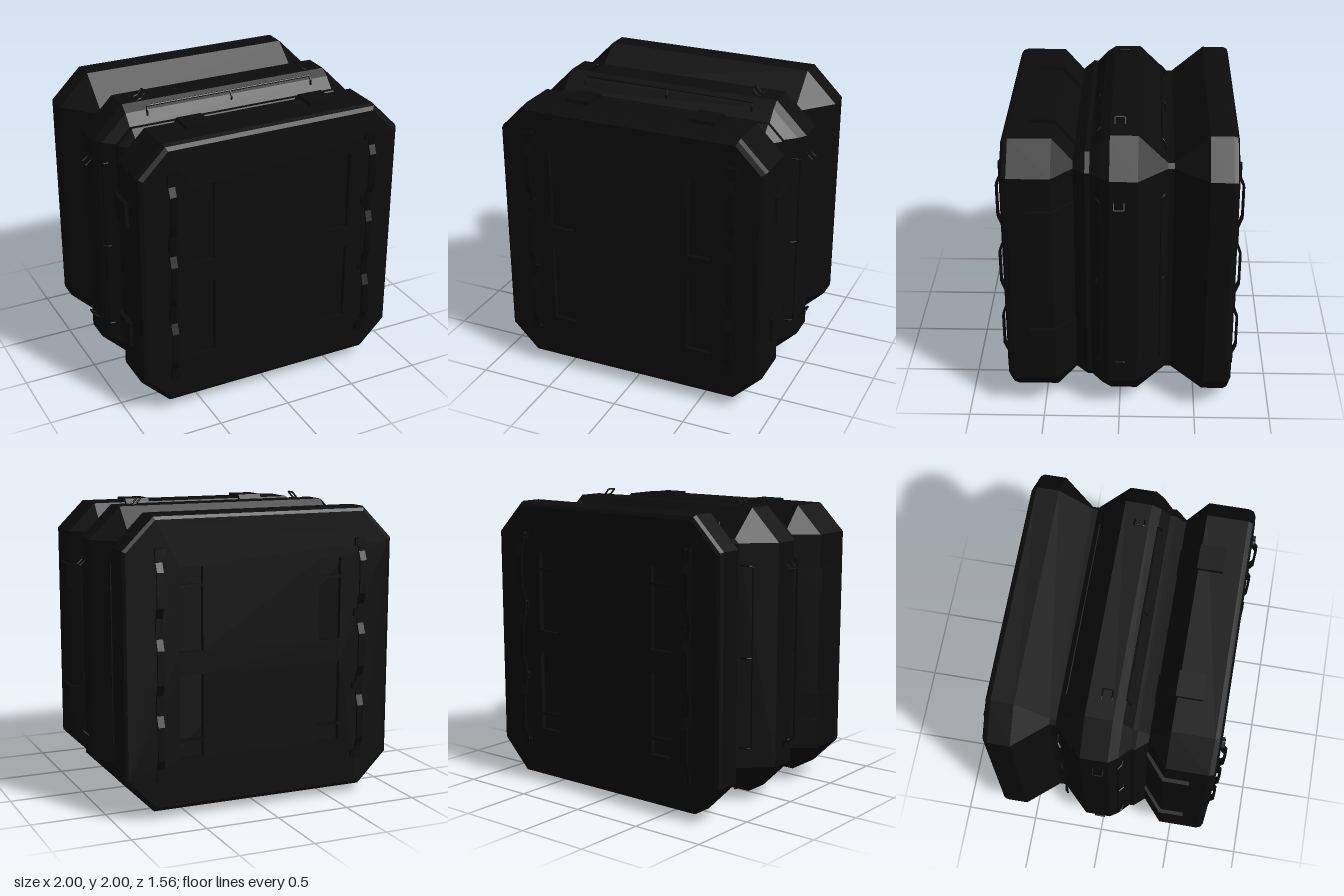
import * as THREE from 'three';

const dark = new THREE.MeshStandardMaterial({ color: 0x0c0c0c, flatShading: true });
dark.name = 'blackShell';
const trim = new THREE.MeshStandardMaterial({ color: 0x090909, flatShading: true });
trim.name = 'blackTrim';

function add(parent, name, geometry, material, x = 0, y = 0, z = 0) {
  const m = new THREE.Mesh(geometry, material);
  m.name = name;
  m.position.set(x, y, z);
  parent.add(m);
  return m;
}

// Octagon of half-width r whose flat sides reach c from the centre line
const octagon = (r, c) => [[r, -c], [r, c], [c, r], [-c, r], [-r, c], [-r, -c], [-c, -r], [c, -r]];

// Skin stretched over octagons [z, r, c] listed from front to back
function skin(sections) {
  const pos = [];
  const rings = sections.map(([z, r, c = 0.74]) => octagon(r, c).map(([x, y]) => [x, y, z]));
  for (let i = 0; i + 1 < rings.length; i++) {
    for (let j = 0; j < 8; j++) {
      const k = (j + 1) % 8;
      const a = rings[i][j], b = rings[i][k], c = rings[i + 1][j], d = rings[i + 1][k];
      pos.push(...a, ...c, ...b, ...b, ...c, ...d);
    }
  }
  const g = new THREE.BufferGeometry();
  g.setAttribute('position', new THREE.Float32BufferAttribute(pos, 3));
  g.computeVertexNormals();
  return g;
}

const toShape = (pts) => new THREE.Shape(pts.map(([x, y]) => new THREE.Vector2(x, y)));

function tube(points, radius) {
  const path = new THREE.CurvePath();
  const v = points.map((p) => new THREE.Vector3(...p));
  for (let i = 0; i + 1 < v.length; i++) path.add(new THREE.LineCurve3(v[i], v[i + 1]));
  return new THREE.TubeGeometry(path, 40, radius, 6);
}

// End wall with sunken vertical slots and bent rails; the face looks along +z
function endWall(name, r, c, z, bars) {
  const g = new THREE.Group();
  g.name = name;
  const depth = 0.035;
  const face = toShape(octagon(r, c));
  for (const s of [-1, 1]) {
    for (const [y0, y1] of [[-0.61, -0.07], [0.08, 0.62]]) {
      const x0 = s * 0.41, x1 = s * 0.57;
      face.holes.push(new THREE.Path([[x0, y0], [x1, y0], [x1, y1], [x0, y1]].map((p) => new THREE.Vector2(...p))));
    }
  }
  add(g, 'slottedFace', new THREE.ExtrudeGeometry(face, { depth, bevelEnabled: false }), dark, 0, 0, z - depth);
  add(g, 'slotFloor', new THREE.PlaneGeometry(1.3, 1.3), dark, 0, 0, z - depth + 0.002);

  // Rail outline: [y, z]
  const line = [[-0.73, 0.757], [-0.66, 0.757], [-0.6, 0.782], [-0.38, 0.782], [-0.31, 0.757], [-0.18, 0.757],
    [-0.11, 0.782], [0.11, 0.782], [0.18, 0.757], [0.31, 0.757], [0.38, 0.782], [0.6, 0.782], [0.66, 0.757], [0.74, 0.757]];
  const outline = [...line.map(([y, d]) => [d, y]), ...line.map(([y, d]) => [d - 0.014, y]).reverse()];
  const rail = new THREE.ExtrudeGeometry(toShape(outline), { depth: 0.045, bevelEnabled: false });
  rail.translate(0, 0, -0.0225).rotateY(-Math.PI / 2);
  for (const s of [-1, 1]) {
    add(g, 'rail', rail, trim, s * 0.712, 0, 0);
    for (const y of [-0.72, -0.245, 0.25, 0.72]) {
      add(g, 'railFoot', new THREE.BoxGeometry(0.07, 0.05, 0.02), trim, s * 0.70, y, z + 0.01);
      for (const dy of [-0.015, 0.015]) {
        const bolt = new THREE.CylinderGeometry(0.016, 0.016, 0.025, 8).rotateX(Math.PI / 2);
        add(g, 'bolt', bolt, trim, s * 0.69, y + dy, z + 0.012);
      }
    }
    if (bars) {
      for (const y of [-0.5, 0.5]) {
        add(g, 'slotBar', new THREE.BoxGeometry(0.16, 0.02, 0.02), trim, s * 0.49, y, z - 0.015);
      }
    }
  }
  return g;
}

// Fittings of the top side, repeated on all four sides
function sideFittings() {
  const g = new THREE.Group();
  g.name = 'sideFittings';

  // Raised pads that follow the front block's slope
  const pad = toShape([[0.285, 0.76], [0.285, 0.80], [0.41, 0.95], [0.578, 0.95], [0.578, 0.91], [0.42, 0.91]]);
  const padGeo = new THREE.ExtrudeGeometry(pad, { depth: 0.17, bevelEnabled: false });
  padGeo.translate(0, 0, -0.085).rotateY(-Math.PI / 2);
  for (const s of [-1, 1]) add(g, 'raisedPad', padGeo, dark, s * 0.433, 0, 0);

  // Long grab rods on the two slopes of the middle ring
  const rods = [
    [[0.13, 0.85], [0.152, 0.9], [0.122, 0.937]],
    [[-0.285, 0.77], [-0.285, 0.83], [-0.262, 0.86]],
  ];
  for (const arm of rods) {
    const left = arm.map(([z, y]) => [-0.6, y, z]);
    const right = arm.map(([z, y]) => [0.6, y, z]).reverse();
    const [z, y] = arm[2];
    add(g, 'grabRod', tube([...left, ...right], 0.007), trim);
    add(g, 'rodStay', tube([[0, arm[0][1], arm[0][0]], [0, arm[1][1], arm[1][0]], [0, y, z]], 0.007), trim);
  }

  // Small tilted loops on the crest
  for (const s of [-1, 1]) {
    const loop = [[0.62, 0.95, -0.032], [0.595, 0.957, -0.032], [0.563, 0.994, -0.032],
      [0.563, 0.994, 0.032], [0.595, 0.957, 0.032], [0.62, 0.95, 0.032]];
    add(g, 'crestLoop', tube(loop.map(([x, y, z]) => [s * x, y, z]), 0.006), trim);
  }
  return g;
}

export function createModel() {
  const model = new THREE.Group();
  model.name = 'crate';
  const core = new THREE.Group();
  core.name = 'crateBody';
  core.position.y = 1;
  model.add(core);

  // Ridged shell: front block, middle ring, back block
  add(core, 'shell', skin([
    [0.735, 0.89, 0.72], [0.72, 0.915, 0.735], [0.69, 0.925], [0.42, 0.925], [0.29, 0.775],
    [0.215, 0.84], [0.185, 0.84], [0.12, 0.91], [0.06, 0.95], [-0.115, 0.95],
    [-0.30, 0.767], [-0.34, 0.767], [-0.555, 0.95], [-0.70, 0.95], [-0.725, 0.94, 0.735], [-0.735, 0.92, 0.725],
  ]), dark);

  core.add(endWall('frontWall', 0.89, 0.72, 0.735, false));
  const back = endWall('backWall', 0.92, 0.725, 0.735, true);
  back.rotation.y = Math.PI;
  core.add(back);

  for (let i = 0; i < 4; i++) {
    const side = sideFittings();
    side.rotation.z = (i * Math.PI) / 2;
    core.add(side);
  }
  return model;
}
